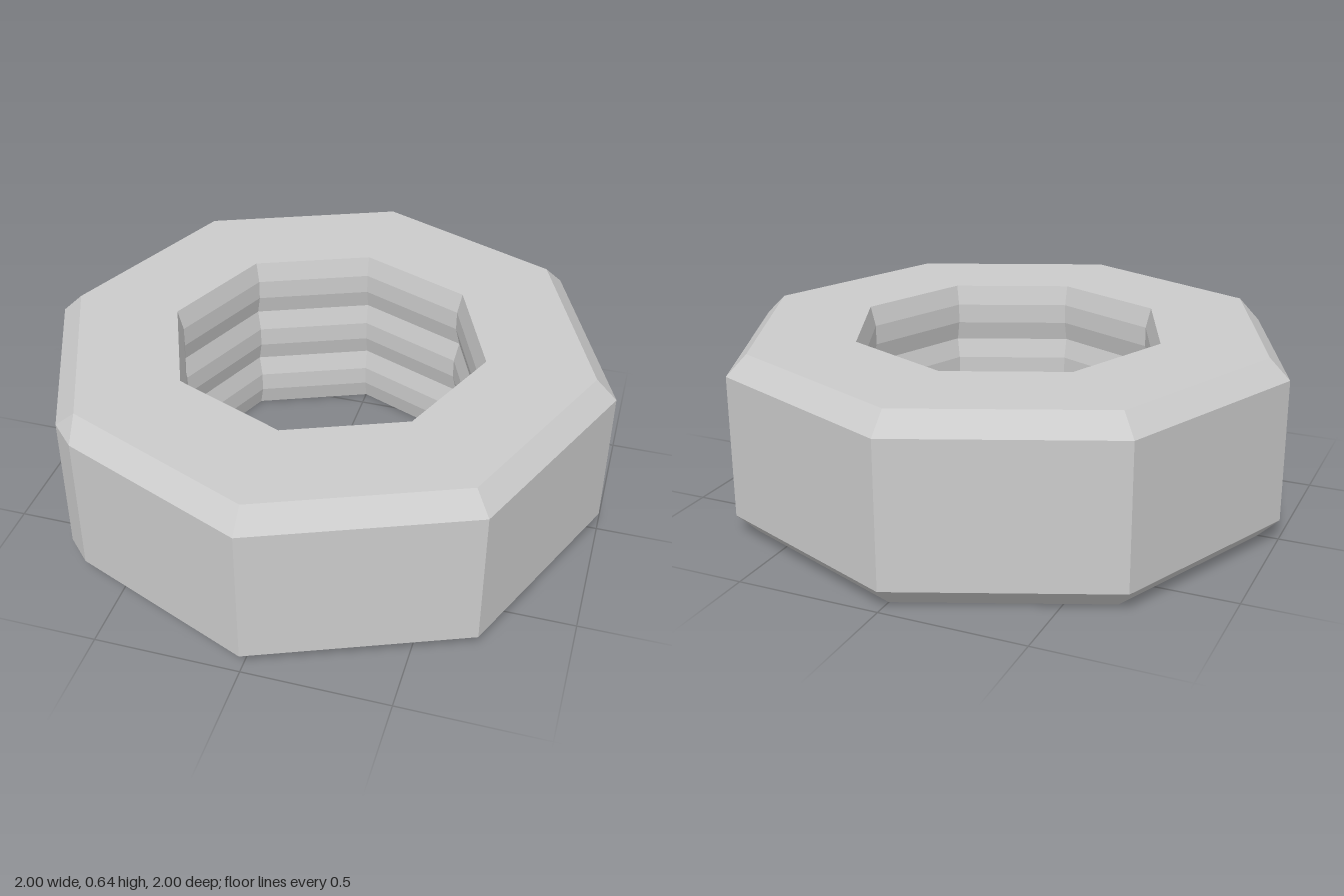
import * as THREE from 'three';

const SIDES = 8, HEIGHT = 0.64, CUT_CORNER = 3;

// Corner of an octagon of the given radius, lying at height y
function corner(k, r, y) {
  const a = (k / SIDES) * Math.PI * 2;
  return new THREE.Vector3(Math.cos(a) * r, y, Math.sin(a) * r);
}

// Octagonal loop; one corner is doubled so that it can be clipped by the fraction cut
function ring(r, y, cut) {
  const points = [];
  for (let k = 0; k < SIDES; k++) {
    const p = corner(k, r, y);
    if (k === CUT_CORNER) {
      points.push(p.clone().lerp(corner(k - 1, r, y), cut), p.clone().lerp(corner(k + 1, r, y), cut));
    } else points.push(p);
  }
  return points;
}

// Joins successive rings with flat faces, leaving out collapsed triangles
function skin(rings) {
  const positions = [];
  const triangle = (a, b, c) => {
    if (new THREE.Triangle(a, b, c).getArea() < 1e-7) return;
    for (const p of [a, b, c]) positions.push(p.x, p.y, p.z);
  };
  rings.forEach((upper, i) => {
    const lower = rings[(i + 1) % rings.length];
    upper.forEach((a, j) => {
      const n = (j + 1) % upper.length;
      triangle(a, upper[n], lower[n]);
      triangle(a, lower[n], lower[j]);
    });
  });
  const geometry = new THREE.BufferGeometry();
  geometry.setAttribute('position', new THREE.Float32BufferAttribute(positions, 3));
  geometry.computeVertexNormals();
  return geometry;
}

export function createModel() {
  // Bevelled outside, from the top face down to the bottom face
  const rings = [
    ring(0.928, HEIGHT, 0),
    ring(1, 0.57, 0.088),
    ring(1, 0.07, 0.088),
    ring(0.928, 0, 0),
  ];
  // Threaded bore: three flat-crested ridges, from the bottom up
  const steps = 9;
  for (let i = 0; i <= steps; i++) {
    rings.push(ring(i % 3 === 0 ? 0.556 : 0.537, (HEIGHT * i) / steps, 0));
  }

  const material = new THREE.MeshStandardMaterial({ color: 0xcccccc, flatShading: true });
  const nut = new THREE.Mesh(skin(rings), material);
  nut.name = 'octagonalNut';

  const group = new THREE.Group();
  group.name = 'nut';
  group.add(nut);
  return group;
}
